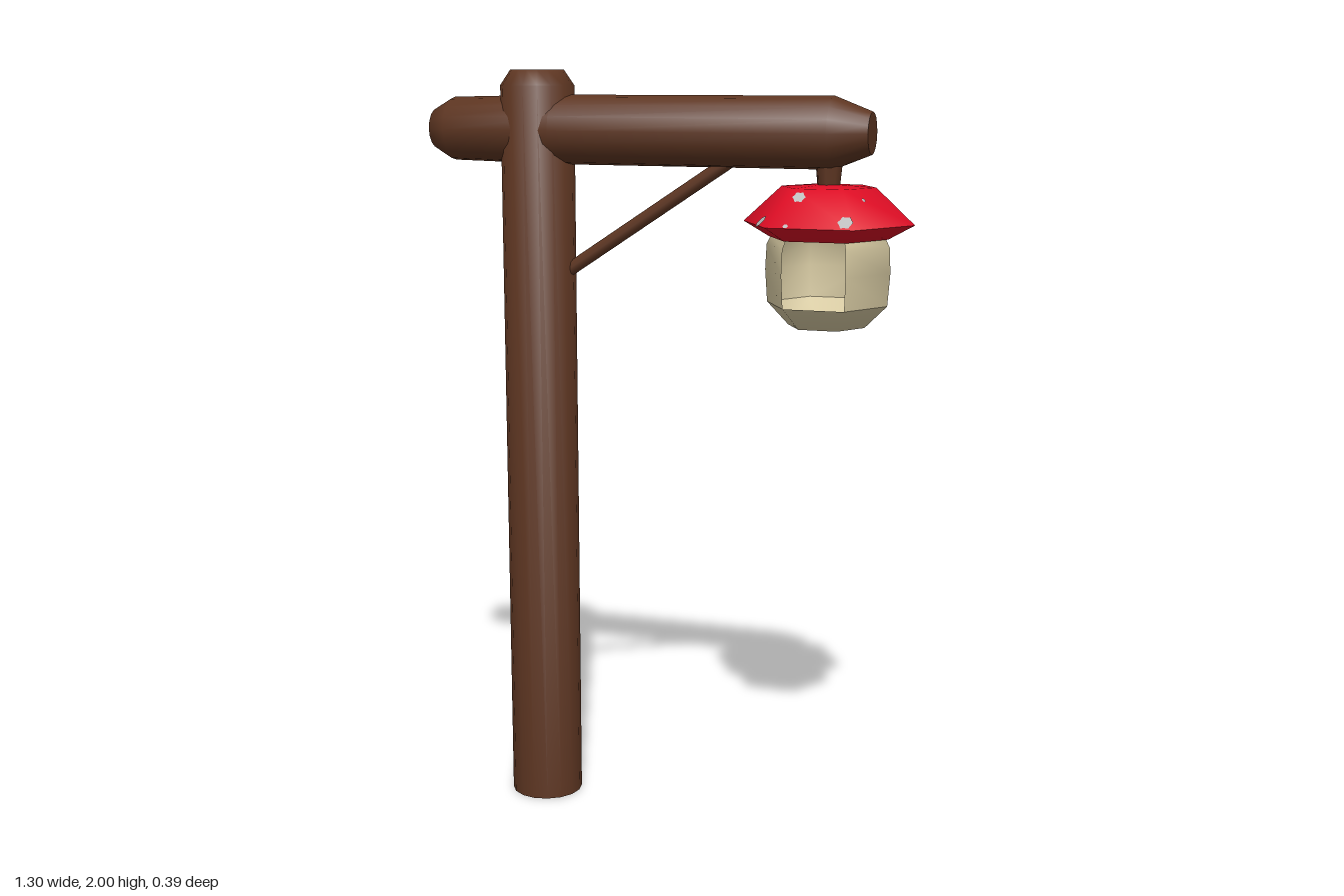
import * as THREE from 'three';
import { toCreasedNormals } from 'three/addons/utils/BufferGeometryUtils.js';

const mat = (name, color, side = THREE.FrontSide) => {
  const m = new THREE.MeshStandardMaterial({ color, side });
  m.name = name;
  return m;
};

// Turned shape from [radius, height] pairs, listed upwards
const turned = (profile, sides, start = 0, length = Math.PI * 2) =>
  toCreasedNormals(
    new THREE.LatheGeometry(profile.map(([r, y]) => new THREE.Vector2(r, y)), sides, start, length), 1.1);

export function createModel() {
  const root = new THREE.Group();
  root.name = 'lanternPost';
  const wood = mat('wood', 0x5e3622);
  const red = mat('red', 0xdc0d24);
  const cream = mat('cream', 0xd8cba3, THREE.DoubleSide);
  const grey = mat('spotGrey', 0xb8b8b8, THREE.DoubleSide);

  const add = (parent, name, geometry, material, x = 0, y = 0, z = 0) => {
    const mesh = new THREE.Mesh(geometry, material);
    mesh.name = name;
    mesh.position.set(x, y, z);
    parent.add(mesh);
    return mesh;
  };

  // Upright log with a chamfered top
  add(root, 'post', turned([[0, 0], [0.097, 0], [0.097, 1.96], [0.07, 2], [0, 2]], 16), wood, -0.362);

  // Horizontal log, profile running from the left end to the right end
  const beam = turned([[0, -0.655], [0.052, -0.655], [0.083, -0.6], [0.09, -0.3],
    [0.091, 0.44], [0.053, 0.537], [0, 0.537]], 16);
  add(root, 'beam', beam, wood, 0, 1.846).rotation.z = -Math.PI / 2;

  // Thin diagonal brace
  const from = new THREE.Vector3(-0.29, 1.47, 0), to = new THREE.Vector3(0.18, 1.78, 0);
  const brace = add(root, 'brace', new THREE.CylinderGeometry(0.018, 0.018, from.distanceTo(to), 8), wood);
  brace.position.copy(from).lerp(to, 0.5);
  brace.quaternion.setFromUnitVectors(new THREE.Vector3(0, 1, 0), to.clone().sub(from).normalize());

  // Hanging lantern
  const lantern = new THREE.Group();
  lantern.name = 'lantern';
  lantern.position.x = 0.428;
  root.add(lantern);
  add(lantern, 'hanger', new THREE.CylinderGeometry(0.035, 0.028, 0.07, 8), wood, 0, 1.738);

  // Six-sided mushroom cap
  const rim = { r: 0.222, y: 1.622 }, crown = { r: 0.122, y: 1.713 };
  add(lantern, 'cap', turned([[0, 1.585], [0.155, 1.585], [rim.r, rim.y], [crown.r, crown.y], [0, 1.72]],
    6, Math.PI / 6), red);

  // Body: five walls with the front left open, above a tapered base
  add(lantern, 'bodyWalls', turned([[0.157, 1.417], [0.163, 1.5], [0.16, 1.565], [0.148, 1.588]],
    5, Math.PI / 6, Math.PI * 5 / 3), cream);
  add(lantern, 'bodyBase', turned([[0, 1.36], [0.1, 1.36], [0.157, 1.417]], 6, Math.PI / 6), cream);

  // Ragged spots laid on the sloping faces: x, z, radius
  const spots = [[-0.043, 0.125, 0.017], [0.087, 0.177, 0.02], [-0.138, 0.128, 0.02],
    [-0.048, -0.178, 0.019], [0.077, -0.13, 0.013], [0.167, -0.075, 0.012],
    [-0.16, -0.07, 0.018], [0.107, 0.078, 0.006], [-0.06, 0.188, 0.007]];
  const cos30 = Math.cos(Math.PI / 6);
  for (const [x, z, r] of spots) {
    const face = Math.round(Math.atan2(x, z) / (Math.PI / 3)) * Math.PI / 3;
    const out = x * Math.sin(face) + z * Math.cos(face);
    const slope = (crown.y - rim.y) / ((rim.r - crown.r) * cos30);
    const y = rim.y + (rim.r * cos30 - out) * slope;
    const normal = new THREE.Vector3(Math.sin(face) * slope, 1, Math.cos(face) * slope).normalize();
    const outline = new THREE.Shape();
    for (let i = 0; i < 12; i++) {
      const a = i * Math.PI / 6, d = r * (i % 2 ? 0.82 : 1);
      outline[i ? 'lineTo' : 'moveTo'](Math.cos(a) * d, Math.sin(a) * d);
    }
    const spot = add(lantern, 'spot', new THREE.ShapeGeometry(outline), grey, x, y, z);
    spot.position.addScaledVector(normal, 0.002);
    spot.quaternion.setFromUnitVectors(new THREE.Vector3(0, 0, 1), normal);
  }
  return root;
}
